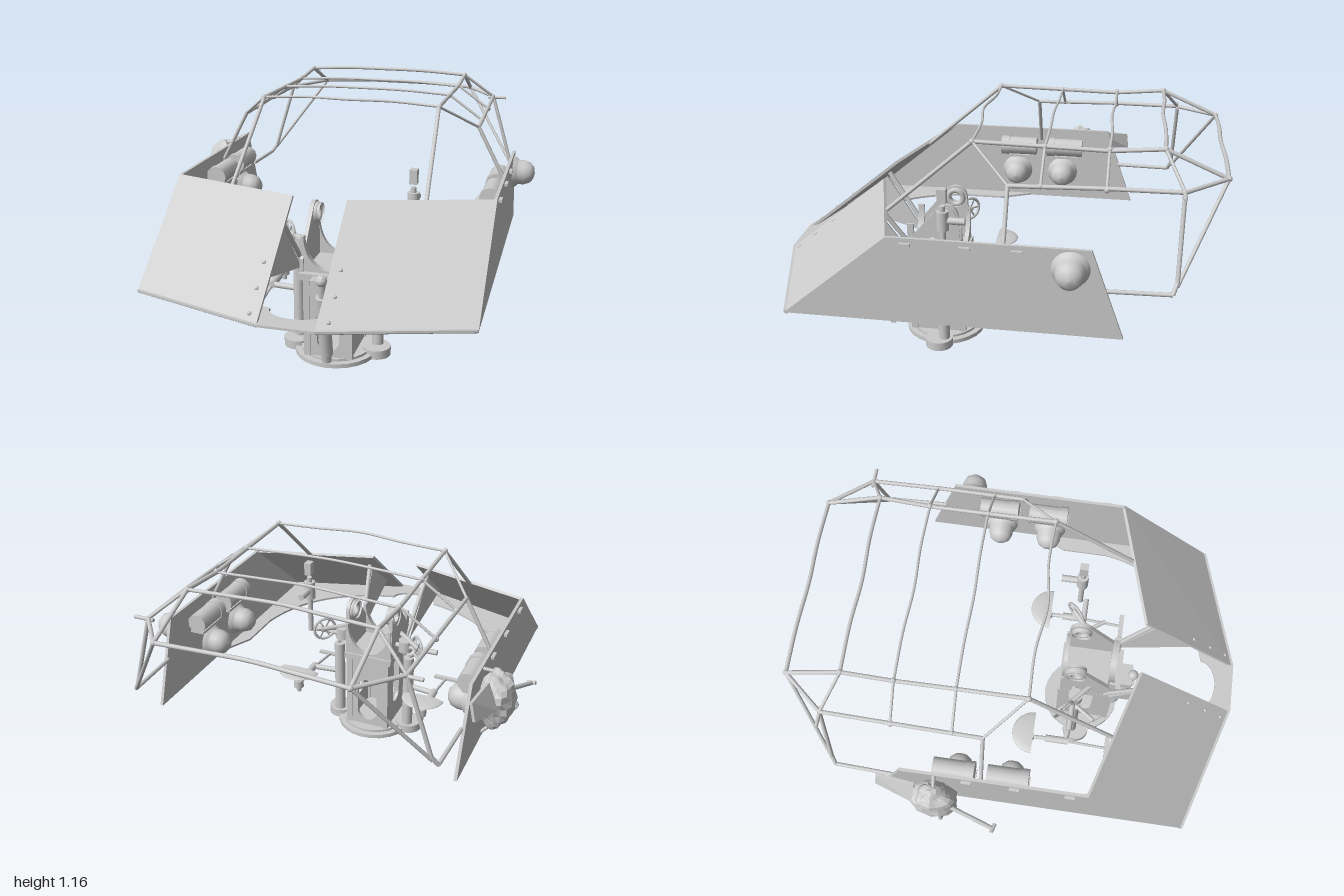
import * as THREE from 'three';
import { ConvexGeometry } from 'three/addons/geometries/ConvexGeometry.js';

const V = (x, y, z) => new THREE.Vector3(x, y, z);

export function createModel() {
  const root = new THREE.Group();
  root.name = 'shieldedGunMount';
  // everything is mirrored about this offset centre line
  const body = new THREE.Group();
  body.name = 'mount';
  body.position.x = 0.037;
  root.add(body);
  const mat = new THREE.MeshStandardMaterial({ color: 0xcccccc, side: THREE.DoubleSide });
  const flat = new THREE.MeshStandardMaterial({ color: 0xcccccc, side: THREE.DoubleSide, flatShading: true });

  const add = (name, geo, x = 0, y = 0, z = 0, m = mat) => {
    const mesh = new THREE.Mesh(geo, m);
    mesh.name = name;
    mesh.position.set(x, y, z);
    body.add(mesh);
    return mesh;
  };
  const box = (name, w, h, d, x, y, z) => add(name, new THREE.BoxGeometry(w, h, d), x, y, z);
  const cyl = (name, r, h, x, y, z, r2 = r) => add(name, new THREE.CylinderGeometry(r2, r, h, 24), x, y, z);
  // straight round bar between two points
  const rod = (name, a, b, r = 0.007, r2 = r) => {
    const dir = b.clone().sub(a);
    const mesh = add(name, new THREE.CylinderGeometry(r2, r, dir.length(), 12));
    mesh.position.copy(a).addScaledVector(dir, 0.5);
    mesh.quaternion.setFromUnitVectors(V(0, 1, 0), dir.normalize());
    return mesh;
  };
  const chain = (name, pts, r) => pts.slice(1).forEach((p, i) => rod(name, pts[i], p, r));
  // flat convex slab given by its corners and a thickness vector
  const slab = (name, pts, t) => add(name, new ConvexGeometry([...pts, ...pts.map(p => p.clone().add(t))]), 0, 0, 0, flat);
  const extrude = (shape, depth) => new THREE.ExtrudeGeometry(shape, { depth, bevelEnabled: false, curveSegments: 20 });
  const poly = pts => new THREE.Shape(pts.map(p => new THREE.Vector2(...p)));
  // plate with a tall round-ended window
  const windowPlate = (w, h, ww, y0, y1) => {
    const s = poly([[-w / 2, 0], [w / 2, 0], [w / 2, h], [-w / 2, h]]);
    const p = new THREE.Path(), r = ww / 2;
    p.absarc(0, y1 - r, r, 0, Math.PI);
    p.absarc(0, y0 + r, r, Math.PI, Math.PI * 2);
    s.holes.push(p);
    return extrude(s, 0.015);
  };

  // ---- armour shield ----
  const W = 0.712, S = 0.1175, B = 0.435, T = 0.82;
  for (const s of [-1, 1]) {
    slab('frontShield', [V(s * W, B, 0.81), V(s * S, B, 0.99), V(s * S, T, 0.52), V(s * W, T, 0.35)], V(0, -0.008, -0.012));
    slab('sideShield', [V(s * W, B, 0.81), V(s * W, T, 0.35), V(s * W, T, -0.47), V(s * W, B, -0.61)], V(-s * 0.014, 0, 0));
    // rivets beside the gun slot and catches along the side
    for (const y of [0.465, 0.535, 0.61])
      add('rivet', new THREE.SphereGeometry(0.009, 10, 8), s * 0.16, y, 0.977 - (y - B) * 1.22);
    for (const z of [0.27, 0.03, -0.18]) box('catch', 0.016, 0.012, 0.045, s * (W + 0.006), 0.795, z);
  }
  // floor flange: narrow at the sides, sweeping to a round notch in front
  const floor = poly([[-W, -0.1], [-W, 0.81], [-S, 0.99], [S, 0.99], [W, 0.81], [W, -0.1]]);
  floor.lineTo(W - 0.085, 0.08);
  floor.lineTo(W - 0.085, 0.3);
  floor.quadraticCurveTo(0.56, 0.72, S, 0.83);
  floor.absellipse(0, 0.83, S, 0.076, 0, Math.PI, false);
  floor.quadraticCurveTo(-0.56, 0.72, -W + 0.085, 0.3);
  floor.lineTo(-W + 0.085, 0.08);
  add('floorFlange', extrude(floor, 0.01), 0, B + 0.01, 0).rotation.x = Math.PI / 2;

  // ---- canopy frame ----
  for (const s of [-1, 1]) {
    const P = (x, y, z) => V(s * x, y, z);
    chain('upperRail', [P(0.43, 0.8, 0.43), P(0.408, 1.13, 0.05), P(0.408, 1.125, -0.25),
      P(0.409, 1.12, -0.51), P(0.41, 1.14, -0.73), P(0.41, 1.03, -0.985)], 0.009);
    chain('lowerRail', [P(0.7, 0.76, -0.12), P(0.567, 1.01, -0.12), P(0.562, 1.02, -0.5),
      P(0.555, 1.02, -0.81), P(0.41, 1.03, -0.985)], 0.009);
    chain('rearStay', [P(0.695, 0.64, -0.53), P(0.685, 0.64, -0.79), P(0.66, 0.68, -0.805), P(0.555, 1.02, -0.81)], 0.009);
    rod('rearDiagonal', P(0.41, 1.03, -0.985), P(0.665, 0.665, -0.805), 0.008);
    rod('frontDiagonal', P(0.567, 1.01, -0.12), P(0.408, 1.13, 0.05), 0.006);
    rod('rearBrace', P(0.41, 1.14, -0.73), P(0.555, 1.02, -0.81), 0.007);
    rod('rearPeg', P(0.53, 1.015, -0.81), P(0.62, 1.015, -0.81), 0.008);
    for (const z of [-0.25, -0.51]) {
      rod('roofDrop', P(0.409, 1.125, z), P(0.565, 1.015, z), 0.006);
      add('clamp', new THREE.SphereGeometry(0.012, 10, 8), s * 0.409, 1.125, z);
      add('clamp', new THREE.SphereGeometry(0.012, 10, 8), s * 0.564, 1.015, z);
    }
    for (const [y, z] of [[1.13, 0.05], [1.14, -0.73], [1.03, -0.985]])
      add('railJoint', new THREE.SphereGeometry(0.013, 10, 8), s * 0.409, y, z);
  }
  for (const [y, z, r, sag] of [[1.13, 0.05, 0.006, -0.02], [1.125, -0.25, 0.006, -0.005], [1.12, -0.51, 0.006, -0.008],
    [1.14, -0.73, 0.008, -0.008], [1.03, -0.985, 0.009, -0.006]]) {
    const c = new THREE.CatmullRomCurve3([V(-0.41, y, z), V(-0.2, y + 0.011, z + sag * 0.2), V(0, y + 0.014, z - sag), V(0.2, y + 0.011, z + sag * 0.2), V(0.41, y, z)]);
    add('roofBow', new THREE.TubeGeometry(c, 24, r, 8));
  }

  // ---- pedestal ----
  cyl('baseDisc', 0.193, 0.02, 0, 0.01, 0.27);
  cyl('baseRing', 0.165, 0.014, 0, 0.024, 0.27);
  const frontPlate = windowPlate(0.22, 0.39, 0.105, 0.03, 0.27), sidePlate = windowPlate(0.26, 0.39, 0.085, 0.1, 0.365);
  for (const z of [0.155, 0.4]) add('pedestalPlate', frontPlate, 0, 0.03, z);
  for (const s of [-1, 1]) {
    add('pedestalSide', sidePlate, s * 0.1 - 0.0075, 0.03, 0.285).rotation.y = Math.PI / 2;
    for (const z of [0.165, 0.405]) box('cornerRib', 0.03, 0.39, 0.03, s * 0.098, 0.225, z);
    cyl('columnFoot', 0.066, 0.042, s * 0.19, 0.021, 0.265);
    cyl('sideColumn', 0.027, 0.4, s * 0.19, 0.235, 0.24);
  }
  box('pedestalCap', 0.25, 0.03, 0.3, 0, 0.425, 0.3);
  rod('strutLower', V(0, 0.02, 0.435), V(0, 0.14, 0.46), 0.023);
  rod('strutCylinder', V(0, 0.06, 0.44), V(0, 0.36, 0.495), 0.031);
  rod('strutPiston', V(0, 0.34, 0.49), V(0, 0.46, 0.51), 0.018);
  add('strutKnuckle', new THREE.SphereGeometry(0.026, 16, 12), 0, 0.44, 0.507);
  box('strutBracket', 0.11, 0.04, 0.1, 0, 0.415, 0.455);

  // ---- gun cradle ----
  const saddle = poly([[-0.12, 0.435], [0.12, 0.435], [0.12, 0.6], [S - 0.01, 0.6]]);
  saddle.absellipse(0, 0.6, S - 0.01, 0.15, 0, Math.PI, true);
  saddle.lineTo(-0.12, 0.6);
  add('saddle', extrude(saddle, 0.03), 0, 0, 0.39);
  add('rearSaddle', extrude(saddle, 0.02), 0, 0, 0.16);
  const ear = poly([[0.43, 0.435], [0.43, 0.5]]);
  ear.absarc(0.23, 0.655, 0.055, 0.6, Math.PI, false);
  ear.lineTo(0.16, 0.435);
  const pin = new THREE.Path();
  pin.absarc(0.23, 0.655, 0.026, 0, Math.PI * 2);
  ear.holes.push(pin);
  const earGeo = extrude(ear, 0.018);
  for (const s of [-1, 1]) {
    add('trunnionCheek', earGeo, s * 0.115 + 0.009, 0, 0).rotation.y = -Math.PI / 2;
    add('trunnionBearing', new THREE.TorusGeometry(0.036, 0.013, 10, 28), s * 0.1, 0.655, 0.23).rotation.y = Math.PI / 2;
    const sleeve = add('trunnionSleeve', new THREE.CylinderGeometry(0.045, 0.045, 0.05, 24, 1, true), s * 0.105, 0.655, 0.23);
    sleeve.rotation.z = Math.PI / 2;
    // stays from cradle to shield
    rod('shieldStay', V(s * 0.12, 0.46, 0.38), V(s * 0.16, 0.74, 0.57), 0.011);
    slab('shieldWeb', [V(s * 0.125, 0.45, 0.4), V(s * 0.15, 0.72, 0.58), V(s * 0.15, 0.55, 0.8)], V(s * 0.01, 0, 0));
    rod('shieldArm', V(s * 0.19, 0.44, 0.24), V(s * 0.26, 0.445, 0.34), 0.01);
  }

  // ---- crew stations ----
  const pan = new THREE.CylinderGeometry(0.1, 0.085, 0.014, 28, 1, false, Math.PI / 2, Math.PI);
  for (const s of [-1, 1]) {
    // half-round seat
    const seat = add('seat', new THREE.SphereGeometry(0.104, 28, 10, 0, Math.PI, 0, Math.PI / 2), s * 0.333, 0.338, 0.06);
    seat.scale.set(1, 0.16, 1);
    seat.rotation.y = Math.PI;
    add('seatPan', pan, s * 0.333, 0.334, 0.06);
    cyl('seatStem', 0.012, 0.11, s * 0.333, 0.28, 0.04);
    cyl('seatCollar', 0.025, 0.04, s * 0.333, 0.27, 0.04);
    rod('seatArm', V(s * 0.19, 0.27, 0.235), V(s * 0.333, 0.27, 0.22), 0.014);
    rod('seatArm', V(s * 0.333, 0.27, 0.235), V(s * 0.333, 0.27, 0.12), 0.018);
    rod('seatArm', V(s * 0.333, 0.27, 0.13), V(s * 0.333, 0.262, 0.03), 0.01);
    rod('footRod', V(s * 0.333, 0.265, 0.22), V(s * 0.333, 0.235, 0.425), 0.007);
    box('footBar', 0.125, 0.014, 0.022, s * 0.333, 0.235, 0.43);
    // handwheel and its shaft
    const wheel = new THREE.Group();
    wheel.name = 'handwheel';
    wheel.position.set(s * 0.25, 0.53, 0.19);
    wheel.rotation.y = s * 0.8;
    wheel.add(new THREE.Mesh(new THREE.TorusGeometry(0.055, 0.007, 8, 28), mat));
    for (let i = 0; i < 3; i++) {
      const spoke = new THREE.Mesh(new THREE.BoxGeometry(0.11, 0.008, 0.006), mat);
      spoke.rotation.z = i * Math.PI / 3;
      wheel.add(spoke);
    }
    body.add(wheel);
    rod('wheelShaft', V(s * 0.12, 0.53, 0.3), V(s * 0.26, 0.53, 0.18), 0.012);
    rod('crossShaft', V(s * 0.12, 0.5, 0.23), V(s * 0.34, 0.5, 0.23), 0.013);
    cyl('gearHousing', 0.034, 0.06, s * 0.17, 0.5, 0.24);
  }
  // sighting column
  cyl('sightColumn', 0.013, 0.3, 0.333, 0.65, 0.2);
  cyl('sightHousing', 0.027, 0.09, 0.333, 0.73, 0.2);
  box('sightHead', 0.034, 0.065, 0.04, 0.333, 0.848, 0.2);
  rod('sightEyepiece', V(0.333, 0.73, 0.2), V(0.333, 0.73, 0.1), 0.016);

  // ---- stowed kit ----
  const helmetGeo = new THREE.LatheGeometry([[0.078, 0], [0.068, 0.02], [0.06, 0.026], [0.059, 0.055], [0.048, 0.083], [0.027, 0.099], [0, 0.104]]
    .map(p => new THREE.Vector2(...p)), 28);
  const helmet = (x, y, z, out) => { add('helmet', helmetGeo, x, y, z).rotation.z = -out * Math.PI / 2; };
  helmet(W + 0.002, 0.735, -0.39, 1);
  for (const s of [-1, 1]) for (const z of [-0.24, 0]) {
    helmet(s * (W - 0.06), 0.6, z, -s);
    rod('helmetHook', V(s * (W - 0.01), 0.63, z), V(s * (W - 0.08), 0.63, z), 0.008);
    rod('canister', V(s * 0.655, 0.735, z - 0.1), V(s * 0.655, 0.735, z + 0.075), 0.046);
    rod('canisterLid', V(s * 0.655, 0.735, z + 0.045), V(s * 0.655, 0.735, z + 0.085), 0.05);
    box('canisterShelf', 0.07, 0.012, 0.18, s * 0.665, 0.685, z);
  }
  // crumpled bag strapped to the outside
  const bag = new THREE.SphereGeometry(1, 18, 14), bp = bag.attributes.position;
  for (let i = 0; i < bp.count; i++) {
    const p = V(bp.getX(i), bp.getY(i), bp.getZ(i));
    const k = 1 + 0.1 * Math.sin(p.y * 7 + p.z * 5) * Math.cos(p.z * 6 - p.x * 4);
    bp.setXYZ(i, p.x * 0.075 * k, p.y * 0.13 * k, p.z * 0.105 * k);
  }
  bag.computeVertexNormals();
  add('bag', bag, -W - 0.07, 0.68, -0.32, flat);
  chain('bagStrap', [V(-W, 0.81, -0.32), V(-0.79, 0.8, -0.31), V(-0.86, 0.64, -0.28), V(-W, 0.46, -0.27)], 0.008);
  // spade behind the bag
  rod('spadeHandle', V(-0.76, 0.75, -0.42), V(-0.866, 0.62, -0.05), 0.01);
  rod('spadeGrip', V(-0.885, 0.625, -0.05), V(-0.845, 0.615, -0.04), 0.009);
  slab('spadeBlade', [V(-0.73, 0.8, -0.57), V(-0.75, 0.72, -0.58), V(-0.8, 0.69, -0.42), V(-0.75, 0.8, -0.4)], V(-0.012, 0, 0));
  return root;
}
